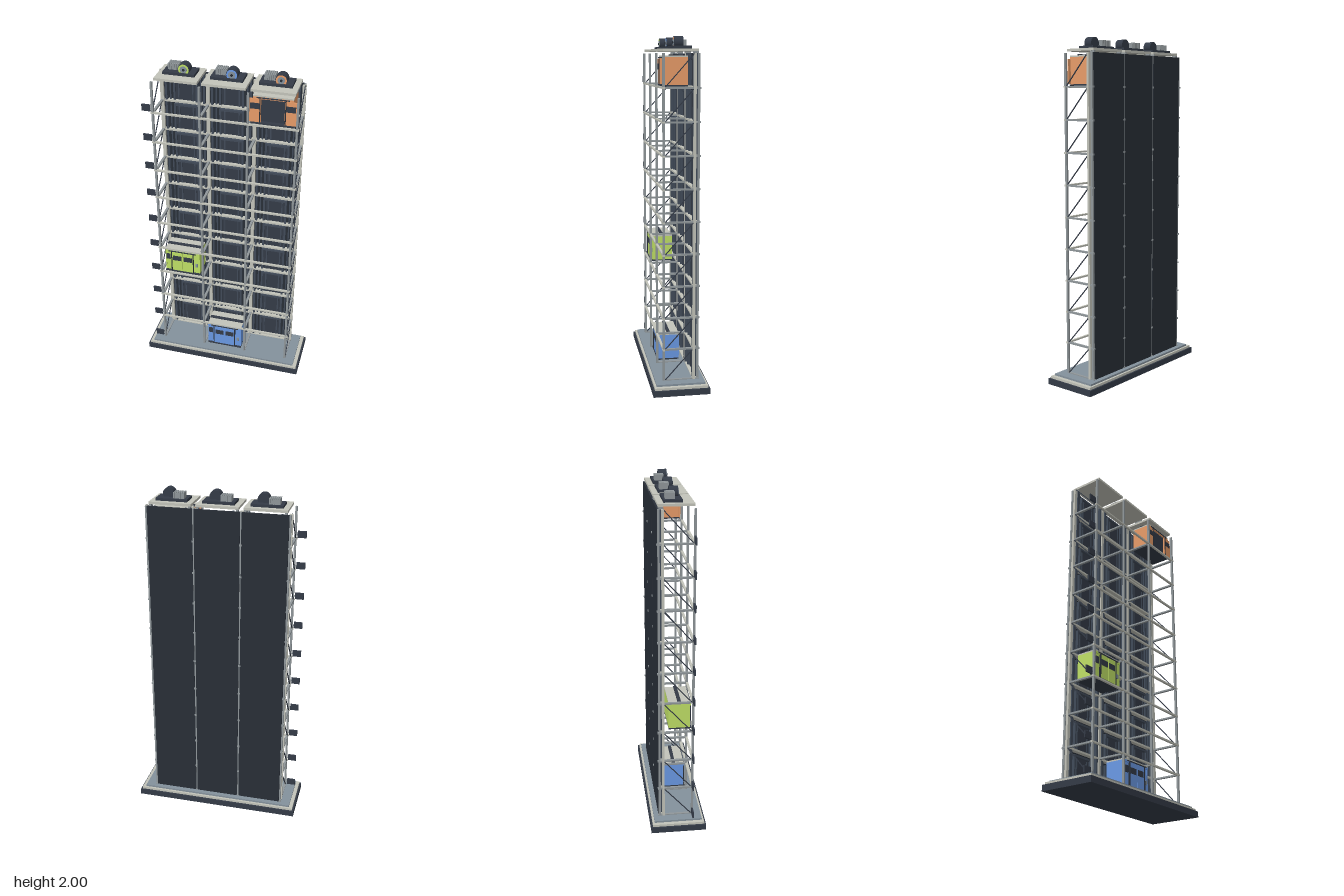
import * as THREE from 'three';

const paint = (name, color) => {
  const m = new THREE.MeshStandardMaterial({ color });
  m.name = name;
  return m;
};
const M = {
  dark: paint('dark steel', 0x343b47),
  wall: paint('wall slate', 0x414b59),
  ink: paint('near black', 0x282e37),
  pale: paint('pale concrete', 0xc3c4ba),
  steel: paint('steel grey', 0x90979a),
  floor: paint('blue grey', 0x84919c),
  green: paint('cabin green', 0xbfe066),
  blue: paint('cabin blue', 0x6a99e4),
  orange: paint('cabin orange', 0xe89c69),
};

// box from its extents on each axis
function box(parent, name, mat, x0, x1, y0, y1, z0, z1) {
  const mesh = new THREE.Mesh(new THREE.BoxGeometry(x1 - x0, y1 - y0, z1 - z0), mat);
  mesh.position.set((x0 + x1) / 2, (y0 + y1) / 2, (z0 + z1) / 2);
  mesh.name = name;
  parent.add(mesh);
}

// cylinder lying along z
function disc(parent, name, mat, r, z0, z1, x, y) {
  const mesh = new THREE.Mesh(new THREE.CylinderGeometry(r, r, z1 - z0, 24), mat);
  mesh.rotation.x = Math.PI / 2;
  mesh.position.set(x, y, (z0 + z1) / 2);
  mesh.name = name;
  parent.add(mesh);
}

function group(parent, name, x = 0, y = 0) {
  const g = new THREE.Group();
  g.name = name;
  g.position.set(x, y, 0);
  parent.add(g);
  return g;
}

const STEP = 0.185, BASE = 0.06, FLOORS = 10, TOP = BASE + STEP * FLOORS;
const SHAFTS = [-0.27, 0, 0.27];
const POSTS = [-0.407, -0.136, 0.136, 0.407];

function addCabin(root, x, level, mat, open) {
  const g = group(root, 'cabin', x, BASE + STEP * level + 0.006);
  const w = 0.111, h = 0.158, zb = -0.047, zf = 0.073;
  // shell around a dark interior
  box(g, 'cabinFloor', M.dark, -w, w, 0, 0.008, zb, 0.085);
  box(g, 'cabinInterior', M.dark, -w + 0.006, w - 0.006, 0.008, h, zb + 0.006, zf - 0.012);
  box(g, 'cabinBack', mat, -w, w, 0.008, h, zb, zb + 0.006);
  for (const s of [-1, 1]) {
    const c = s * (w - 0.003);
    box(g, 'cabinSide', mat, c - 0.003, c + 0.003, 0.008, h, zb, zf + 0.004);
  }
  box(g, 'cabinRoof', M.pale, -w, w, h, h + 0.008, zb, 0.08);
  box(g, 'roofBeam', M.dark, -w, w, h + 0.008, h + 0.014, 0.005, 0.025);
  box(g, 'doorHeader', mat, -w, w, h - 0.012, h, zf, zf + 0.008);
  box(g, 'doorTrack', M.dark, -0.09, 0.09, h - 0.006, h - 0.001, zf + 0.008, zf + 0.013);
  // sliding leaves, with windows
  const shift = open ? 0.064 : 0;
  for (const s of [-1, 1]) {
    const c = s * (0.034 + shift);
    box(g, 'doorLeaf', mat, c - 0.033, c + 0.033, 0.01, h - 0.012, zf + 0.003, zf + 0.01);
    box(g, 'doorWindow', M.dark, c - 0.027, c + 0.027, 0.088, 0.122, zf + 0.01, zf + 0.012);
    const e = s * (w - 0.02);
    box(g, 'frontPanel', mat, e - 0.02, e + 0.02, 0.008, h - 0.012, zf - 0.005, zf + 0.002);
    box(g, 'doorPost', M.ink, s * 0.07 - 0.0025, s * 0.07 + 0.0025, 0.01, h - 0.008, zf + 0.006, zf + 0.014);
  }
  if (!open) {
    box(g, 'cabinPlate', M.dark, -0.106, -0.08, 0.09, 0.128, zf + 0.002, zf + 0.008);
    box(g, 'callPanel', M.floor, 0.083, 0.097, 0.055, 0.08, zf + 0.002, zf + 0.008);
  }
}

function addMachine(root, x, mat) {
  const g = group(root, 'hoistMachine', x, 1.92);
  box(g, 'machineSlab', M.pale, -0.122, 0.122, 0, 0.014, -0.105, 0.092);
  box(g, 'machineBed', M.dark, -0.091, 0.091, 0.014, 0.029, -0.072, 0.03);
  // finned motor
  box(g, 'motor', M.steel, -0.07, -0.008, 0.029, 0.058, -0.058, -0.012);
  for (let i = 0; i < 6; i++) {
    const fx = -0.071 + i * 0.0106;
    box(g, 'motorFin', M.steel, fx, fx + 0.0085, 0.029, 0.063, -0.061, -0.008);
  }
  // drive wheel with a flat painted rim
  disc(g, 'driveWheel', M.dark, 0.033, -0.032, 0.018, 0.027, 0.047);
  const rim = new THREE.Mesh(new THREE.RingGeometry(0.02, 0.03, 28), mat);
  rim.position.set(0.027, 0.047, 0.0195);
  rim.name = 'wheelRim';
  g.add(rim);
  disc(g, 'wheelFace', M.floor, 0.02, 0.018, 0.021, 0.027, 0.047);
  disc(g, 'wheelHub', M.ink, 0.007, 0.021, 0.025, 0.027, 0.047);
}

function addShaft(root, x) {
  const g = group(root, 'shaft', x);
  box(g, 'backPanel', M.ink, -0.131, 0.131, BASE, TOP, -0.112, -0.102);
  // guide rails and wall ribs
  for (const s of [-1, 1]) {
    for (const [rx, hw, zf] of [[0.112, 0.006, -0.076], [0.09, 0.004, -0.088]]) {
      box(g, 'guideRail', M.wall, s * rx - hw, s * rx + hw, BASE, TOP, -0.102, zf);
    }
  }
  for (let k = 0; k < FLOORS; k++) {
    const y = BASE + k * STEP;
    // landing door with its frame
    for (const s of [-1, 1]) {
      box(g, 'frameSide', M.wall, s * 0.066 - 0.006, s * 0.066 + 0.006, y, y + 0.164, -0.102, -0.084);
      box(g, 'doorEdge', M.wall, s * 0.042 - 0.004, s * 0.042 + 0.004, y, y + 0.148, -0.102, -0.092);
    }
    box(g, 'doorPanel', M.dark, -0.06, 0.06, y, y + 0.154, -0.102, -0.096);
    box(g, 'frameTop', M.wall, -0.072, 0.072, y + 0.154, y + 0.166, -0.102, -0.084);
    box(g, 'landingSill', M.pale, -0.125, 0.125, y - 0.005, y + 0.006, -0.102, -0.075);
  }
}

export function createModel() {
  const root = new THREE.Group();
  root.name = 'elevatorTower';

  // stepped base
  box(root, 'basePlinth', M.dark, -0.503, 0.503, 0, 0.035, -0.163, 0.163);
  box(root, 'baseSlab', M.pale, -0.493, 0.493, 0.035, 0.049, -0.153, 0.153);
  box(root, 'baseFloor', M.floor, -0.471, 0.471, 0.049, BASE, -0.141, 0.141);

  SHAFTS.forEach((x) => addShaft(root, x));

  // posts and cross beams of the frame
  for (const x of POSTS) {
    box(root, 'frontPost', M.steel, x - 0.006, x + 0.006, BASE, TOP, 0.084, 0.097);
    box(root, 'rearPost', M.steel, x - 0.005, x + 0.005, BASE, TOP, -0.11, -0.098);
    box(root, 'rearRail', M.pale, x - 0.01, x + 0.01, BASE, TOP, -0.089, -0.075);
    for (let k = 0; k < FLOORS; k++) {
      const y = BASE + k * STEP;
      box(root, 'sideBeam', M.steel, x - 0.007, x + 0.007, y - 0.005, y + 0.005, -0.115, 0.096);
    }
  }
  for (let k = 1; k < FLOORS; k++) {
    const y = BASE + k * STEP;
    box(root, 'frontBeam', M.pale, -0.418, 0.418, y - 0.005, y + 0.005, 0.085, 0.098);
  }

  // diagonal braces on both ends, and the floor plates
  const dz = 0.165, len = Math.hypot(dz, STEP);
  for (let k = 0; k < FLOORS; k++) {
    const y = BASE + k * STEP;
    for (const x of [-0.411, 0.411]) {
      const brace = new THREE.Mesh(new THREE.BoxGeometry(0.005, len, 0.005), M.dark);
      brace.position.set(x, y + STEP / 2, 0.0025);
      brace.rotation.x = -Math.atan2(dz, STEP);
      brace.name = 'diagonalBrace';
      root.add(brace);
    }
    box(root, 'floorPlate', M.dark, -0.471, -0.42, y + 0.006, y + 0.045, 0.084, 0.093);
    box(root, 'floorPlateArm', M.steel, -0.425, -0.407, y + 0.02, y + 0.028, 0.085, 0.091);
  }

  // slab bearers on top of the posts
  for (const x of SHAFTS) {
    for (const s of [-1, 1]) {
      box(root, 'slabBearer', M.steel, x + s * 0.112 - 0.006, x + s * 0.112 + 0.006, TOP - 0.004, 1.921, -0.105, -0.076);
    }
  }

  const colours = [M.green, M.blue, M.orange], levels = [3, 0, 9];
  SHAFTS.forEach((x, i) => {
    addCabin(root, x, levels[i], colours[i], i === 2);
    addMachine(root, x, colours[i]);
  });
  return root;
}
